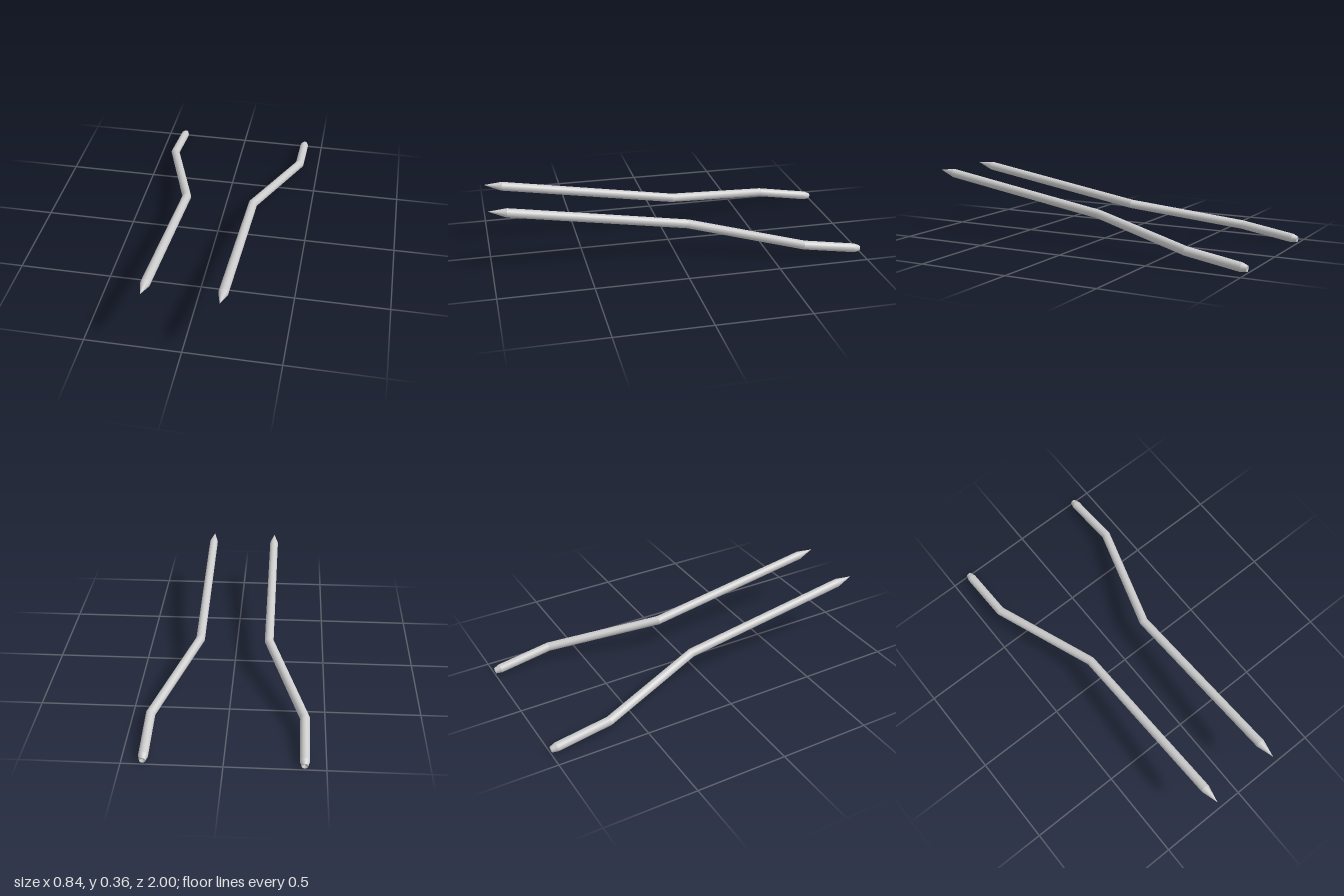
import * as THREE from 'three';

const RADIUS = 0.0245, SIDES = 20, SLOPE = 0.165;
const heightAt = z => 0.191 + SLOPE * z;
const UP = new THREE.Vector3(0, 1, -SLOPE).normalize(); // normal of the sloping plane the rods lie in

// Ring of points around a centre; at a bend it is mitred between the two runs
function ring(center, before, after, radius) {
  const along = before.clone().add(after).normalize();
  const side = UP.clone().cross(along).divideScalar(along.dot(after));
  return Array.from({ length: SIDES }, (_, i) => {
    const a = (i / SIDES) * Math.PI * 2;
    return center.clone()
      .addScaledVector(side, radius * Math.cos(a))
      .addScaledVector(UP, radius * Math.sin(a));
  });
}

// Smooth band between two rings
function band(name, start, end, material) {
  const geometry = new THREE.BufferGeometry().setFromPoints([...start, ...end]);
  const index = [];
  for (let i = 0; i < SIDES; i++) {
    const j = (i + 1) % SIDES;
    index.push(i, j, i + SIDES, j, j + SIDES, i + SIDES);
  }
  geometry.setIndex(index);
  geometry.computeVertexNormals();
  const mesh = new THREE.Mesh(geometry, material);
  mesh.name = name;
  return mesh;
}

function bentRod(name, inner, outer, material) {
  const rod = new THREE.Group();
  rod.name = name;
  // x, z, radius from the dimpled rear end to the sharp front tip
  const stations = [
    [outer, -0.982, 0.0005],
    [outer, -0.996, 0.016],
    [outer, -0.965, RADIUS],
    [outer, -0.67, RADIUS],
    [inner, -0.067, RADIUS],
    [inner, 0.905, RADIUS],
    [inner, 1.0, 0.0005],
  ];
  const names = ['endDimple', 'endTaper', 'rearGrip', 'splayedSection', 'frontShaft', 'pointedTip'];
  const points = stations.map(([x, z]) => new THREE.Vector3(x, heightAt(z), z));
  const forward = new THREE.Vector3(0, SLOPE, 1).normalize();
  const splay = points[4].clone().sub(points[3]).normalize();
  const rings = stations.map(([, , radius], i) =>
    ring(points[i], i === 4 ? splay : forward, i === 3 ? splay : forward, radius));
  names.forEach((part, i) => rod.add(band(part, rings[i], rings[i + 1], material)));
  return rod;
}

export function createModel() {
  const model = new THREE.Group();
  model.name = 'bentRodPair';
  const material = new THREE.MeshStandardMaterial({ color: 0xcccccc, side: THREE.DoubleSide });
  model.add(bentRod('leftRod', 0.19, 0.392, material));
  model.add(bentRod('rightRod', -0.193, -0.394, material));
  return model;
}
